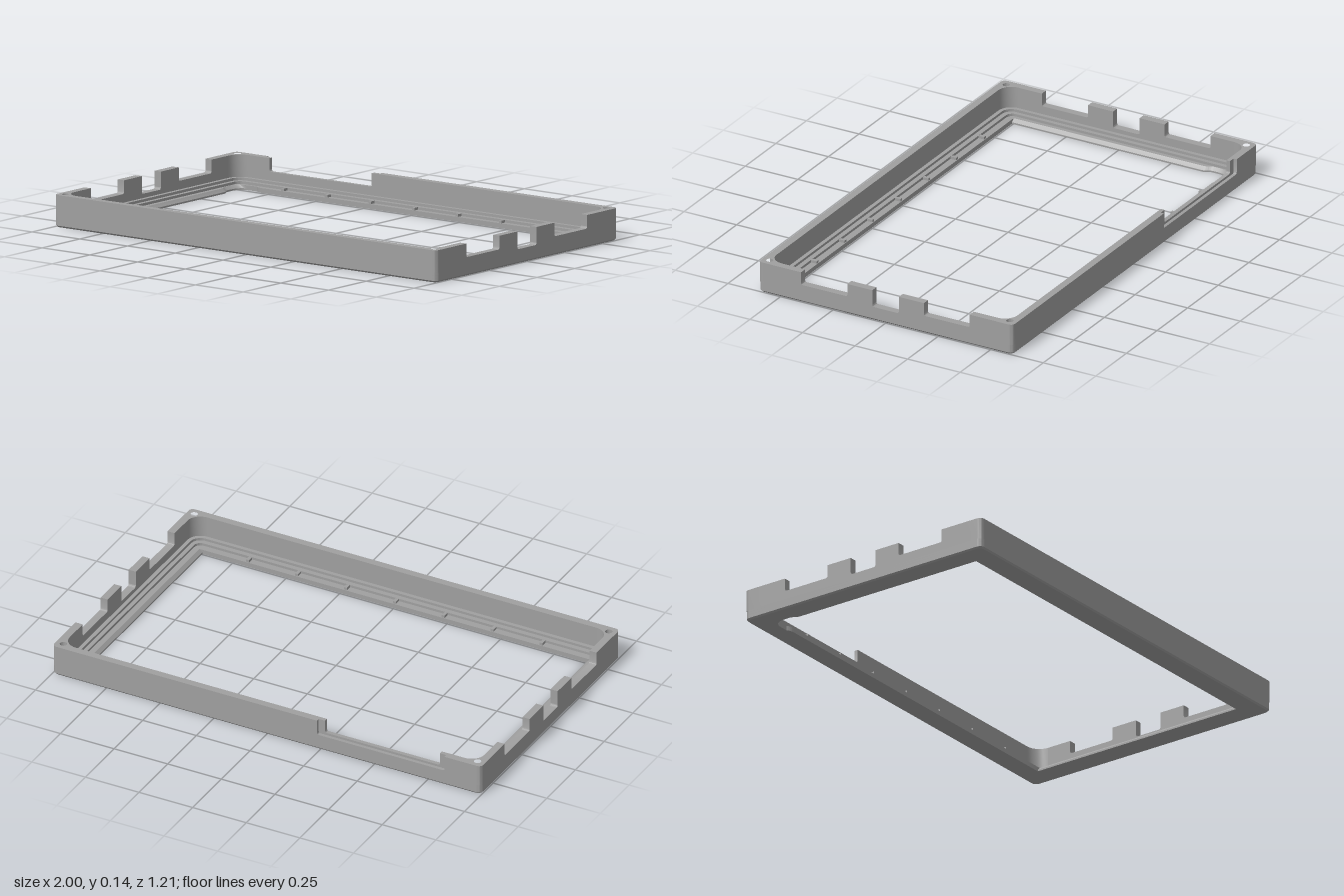
import * as THREE from 'three';
import { toCreasedNormals } from 'three/addons/utils/BufferGeometryUtils.js';

const W = 1, D = 0.605, H = 0.135;      // half width, half depth, height
const IN_X = 0.967, IN_Z = 0.573;       // inner faces of the upright walls
const POST_X = 0.907, POST_Z = 0.513;   // where the corner posts meet the walls
const FLOOR = 0.042;                    // level from which the walls rise

// Rounded rectangle in plan, shape y being world z
function roundRect(hx, hz, r, Type = THREE.Shape) {
  const s = new Type();
  s.moveTo(-hx + r, -hz);
  s.lineTo(hx - r, -hz);
  s.absarc(hx - r, -hz + r, r, -Math.PI / 2, 0, false);
  s.lineTo(hx, hz - r);
  s.absarc(hx - r, hz - r, r, 0, Math.PI / 2, false);
  s.lineTo(-hx + r, hz);
  s.absarc(-hx + r, hz - r, r, Math.PI / 2, Math.PI, false);
  s.lineTo(-hx, -hz + r);
  s.absarc(-hx + r, -hz + r, r, Math.PI, Math.PI * 1.5, false);
  return s;
}

// Window opening, with the widened relief in its back right corner
function opening() {
  const p = new THREE.Path();
  p.moveTo(-0.9, 0.505);
  p.lineTo(-0.9, -0.4);
  p.quadraticCurveTo(-0.902, -0.413, -0.909, -0.422);
  p.quadraticCurveTo(-0.915, -0.43, -0.915, -0.445);
  p.lineTo(-0.915, -0.465);
  p.quadraticCurveTo(-0.915, -0.522, -0.86, -0.522);
  p.lineTo(-0.825, -0.522);
  p.quadraticCurveTo(-0.81, -0.51, -0.79, -0.51);
  p.lineTo(0.893, -0.51);
  p.lineTo(0.893, 0.505);
  return p;
}

// Extrude a plan shape between two heights
function slab(shape, y0, y1) {
  const g = new THREE.ExtrudeGeometry(shape, { depth: y1 - y0, bevelEnabled: false, curveSegments: 8 });
  return g.rotateX(Math.PI / 2).translate(0, y1, 0);
}

// Wall elevation with notches [from, to, floor] cut from the top edge
function elevation(u0, u1, notches, r = 0.01) {
  const s = new THREE.Shape();
  s.moveTo(u0, FLOOR);
  s.lineTo(u0, H);
  for (const [a, b, y] of notches) {
    s.lineTo(a, H);
    s.lineTo(a, y + r);
    s.quadraticCurveTo(a, y, a + r, y);
    s.lineTo(b - r, y);
    s.quadraticCurveTo(b, y, b, y + r);
    s.lineTo(b, H);
  }
  s.lineTo(u1, H);
  s.lineTo(u1, FLOOR);
  return s;
}

export function createModel() {
  const model = new THREE.Group();
  model.name = 'bezelFrame';
  const grey = new THREE.MeshStandardMaterial({ color: 0xa0a0a0 });
  grey.name = 'grey plastic';
  const add = (name, geo) => {
    const m = new THREE.Mesh(toCreasedNormals(geo, 0.5), grey);
    m.name = name;
    model.add(m);
  };
  const ring = (hole, y0, y1) => {
    const s = roundRect(W, D, 0.022);
    s.holes.push(hole);
    return slab(s, y0, y1);
  };
  const moveVertices = (g, rule) => {
    const p = g.attributes.position, v = new THREE.Vector3();
    for (let i = 0; i < p.count; i++) {
      rule(v.fromBufferAttribute(p, i));
      p.setXYZ(i, v.x, v.y, v.z);
    }
    return g;
  };

  // Underside with a chamfered outer edge
  add('bottomChamfer', moveVertices(ring(opening(), 0, 0.007), v => {
    if (v.y < 0.001 && (Math.abs(v.x) > 0.95 || Math.abs(v.z) > 0.56)) {
      v.x *= (W - 0.006) / W;
      v.z *= (D - 0.006) / D;
    }
  }));

  // Bezel whose short sides slope away from the opening
  add('bezel', moveVertices(ring(opening(), 0.007, 0.02), v => {
    if (v.y > 0.019 && Math.abs(v.x) > 0.88 && Math.abs(v.x) < 0.92 && Math.abs(v.z) < 0.515) {
      v.x += Math.sign(v.x) * 0.014;
    }
  }));

  // Stepped ledges inside the walls
  add('lowerLedge', ring(roundRect(0.932, 0.535, 0.03, THREE.Path), 0.02, 0.031));
  add('upperLedge', ring(roundRect(0.95, 0.556, 0.045, THREE.Path), 0.031, FLOOR));

  // Small ribs along the long sides
  for (let i = -3; i <= 3; i++) {
    for (const z of [-0.525, 0.521]) {
      add('rib', new THREE.BoxGeometry(0.014, 0.012, 0.026).translate(i * 0.228, 0.025, z));
    }
  }

  // Corner posts with screw holes
  for (const sx of [-1, 1]) {
    for (const sz of [-1, 1]) {
      const r = 0.022, s = new THREE.Shape();
      s.moveTo(sx * POST_X, sz * D);
      s.lineTo(sx * (W - r), sz * D);
      s.quadraticCurveTo(sx * W, sz * D, sx * W, sz * (D - r));
      s.lineTo(sx * W, sz * POST_Z);
      s.lineTo(sx * IN_X, sz * POST_Z);
      s.bezierCurveTo(sx * IN_X, sz * (POST_Z + 0.033), sx * (POST_X + 0.033), sz * IN_Z, sx * POST_X, sz * IN_Z);
      const hole = new THREE.Path();
      hole.absarc(sx * 0.966, sz * 0.571, 0.015, 0, Math.PI * 2, true);
      s.holes.push(hole);
      add('cornerPost', slab(s, FLOOR, H));
    }
  }

  // Notched side walls
  const sideNotches = [[-0.4, -0.182, 0.078], [-0.063, 0.063, 0.06], [0.182, 0.402, 0.078]];
  for (const x of [W, -IN_X]) {
    const g = new THREE.ExtrudeGeometry(elevation(-POST_Z, POST_Z, sideNotches), { depth: W - IN_X, bevelEnabled: false });
    add('sideWall', g.rotateY(-Math.PI / 2).translate(x, 0, 0));
  }

  // Front wall, and back wall in two layers with a stepped cut-out
  const longWall = (name, notches, z, depth) => {
    const g = new THREE.ExtrudeGeometry(elevation(-POST_X, POST_X, notches), { depth, bevelEnabled: false });
    add(name, g.translate(0, 0, z));
  };
  longWall('frontWall', [], IN_Z, D - IN_Z);
  longWall('backWallOuter', [[-0.83, -0.235, 0.068]], -D, 0.015);
  longWall('backWallInner', [[-0.8, -0.265, 0.078]], -D + 0.015, D - IN_Z - 0.015);

  return model;
}
